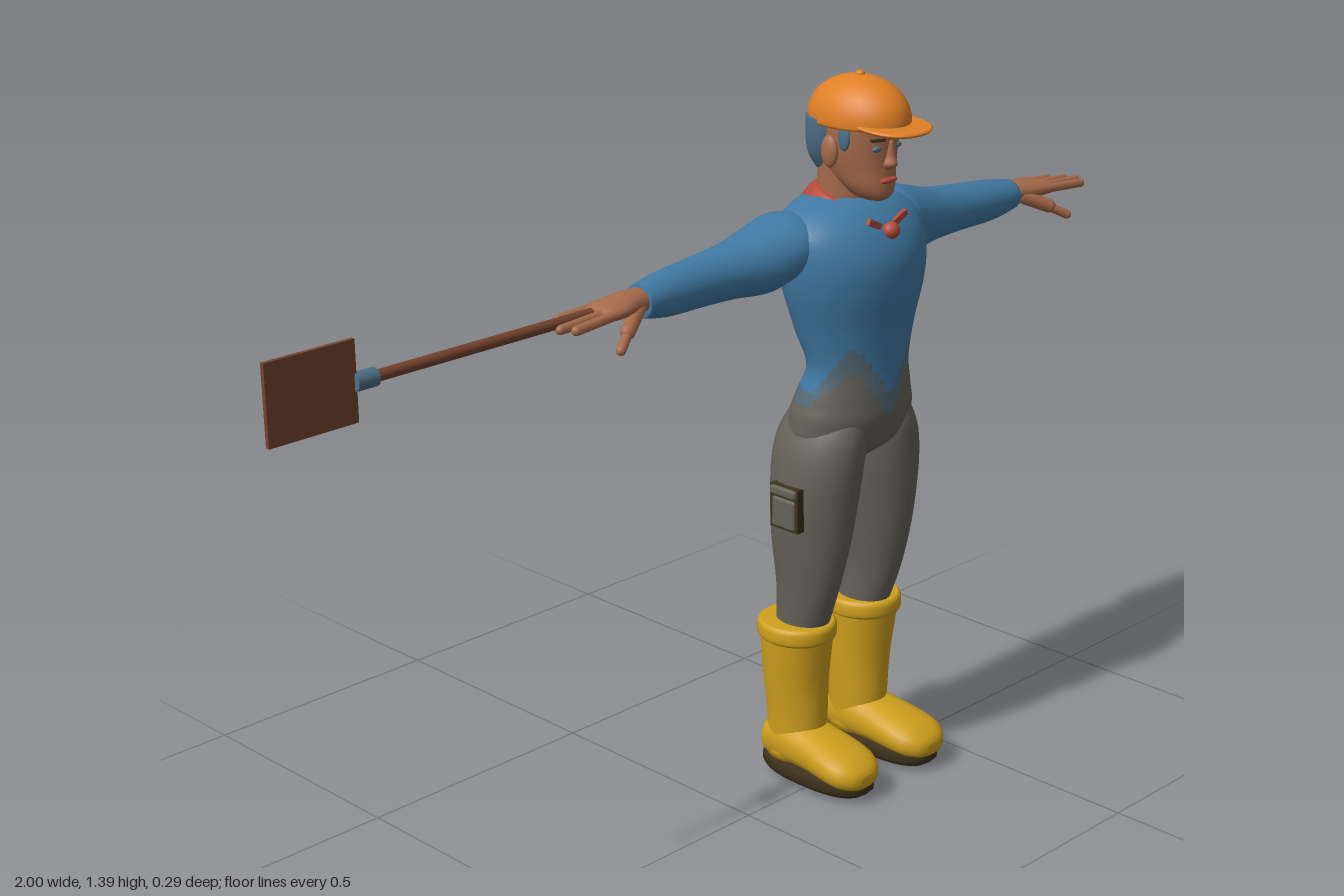
import * as THREE from 'three';
import { RoundedBoxGeometry } from 'three/addons/geometries/RoundedBoxGeometry.js';

const colours = {
  capOrange: 0xe07f26, skin: 0xa66a4b, hairSlate: 0x4d6f87, shirtBlue: 0x417aa4, fadedShirt: 0x566a76,
  trouserGrey: 0x656259, bootYellow: 0xcfa01e, soleDark: 0x3d321c, collarRed: 0xb54a38, wornBrown: 0x74432f,
};

// Smooth tube of elliptical rings [t, u, v, ru, rv]; t runs along the axis, (u, v) is the ring centre.
function loft(rings, { axis = 'y', seg = 24, steps = 4, pick = null, sq = 1 } = {}) {
  const rows = [];
  const at = i => rings[Math.max(0, Math.min(rings.length - 1, i))];
  for (let i = 0; i < rings.length - 1; i++) {
    for (let s = 0; s < steps; s++) {
      const f = s / steps;
      rows.push(at(i).map((b, k) => {
        const a = at(i - 1)[k], c = at(i + 1)[k], d = at(i + 2)[k];
        return b + 0.5 * f * (c - a + f * (2 * a - 5 * b + 4 * c - d + f * (3 * (b - c) + d - a)));
      }));
    }
  }
  rows.push(rings[rings.length - 1]);
  const pos = [], tris = [];
  const put = (t, u, v) => pos.push(...(axis === 'y' ? [u, t, v] : axis === 'x' ? [t, u, v] : [u, v, t]));
  const pow = n => Math.sign(n) * Math.abs(n) ** sq;
  for (const [t, u, v, ru, rv] of rows) {
    for (let i = 0; i < seg; i++) {
      const a = i / seg * Math.PI * 2;
      put(t, u + ru * pow(Math.cos(a)), v + rv * pow(Math.sin(a)));
    }
  }
  const n = rows.length, lo = n * seg, hi = lo + 1;
  put(rows[0][0], rows[0][1], rows[0][2]);
  put(rows[n - 1][0], rows[n - 1][1], rows[n - 1][2]);
  const flip = (axis !== 'y') !== (rows[n - 1][0] < rows[0][0]);
  const tri = (a, b, c) => tris.push(flip ? [a, c, b] : [a, b, c]);
  for (let i = 0; i < seg; i++) {
    const k = (i + 1) % seg;
    for (let j = 0; j < n - 1; j++) {
      const a = j * seg + i, b = a + seg, c = j * seg + k, d = c + seg;
      tri(a, b, c);
      tri(b, d, c);
    }
    tri(lo, i, k);
    tri(hi, (n - 1) * seg + k, (n - 1) * seg + i);
  }
  const g = new THREE.BufferGeometry();
  g.setAttribute('position', new THREE.Float32BufferAttribute(pos, 3));
  if (pick) {
    // Sort faces into one group for each colour.
    const sets = [[], [], []];
    for (const t of tris) {
      const c = [0, 1, 2].map(k => t.reduce((sum, p) => sum + pos[p * 3 + k], 0) / 3);
      sets[pick(...c)].push(...t);
    }
    let start = 0;
    sets.forEach((set, m) => { g.addGroup(start, set.length, m); start += set.length; });
    g.setIndex(sets.flat());
  } else g.setIndex(tris.flat());
  g.computeVertexNormals();
  return g;
}

// Capsule between two points.
function bone(a, b, r) {
  const p = new THREE.Vector3(...a), q = new THREE.Vector3(...b), d = q.clone().sub(p);
  const g = new THREE.CapsuleGeometry(r, d.length(), 5, 10);
  g.applyQuaternion(new THREE.Quaternion().setFromUnitVectors(new THREE.Vector3(0, 1, 0), d.normalize()));
  const m = p.add(q).multiplyScalar(0.5);
  return g.translate(m.x, m.y, m.z);
}

const ball = (x, y, z, rx, ry, rz) => new THREE.SphereGeometry(1, 18, 12).scale(rx, ry, rz).translate(x, y, z);
const box = (w, h, d, x, y, z) => new THREE.BoxGeometry(w, h, d).translate(x, y, z);

export function createModel() {
  const mat = {};
  for (const [name, color] of Object.entries(colours)) {
    mat[name] = new THREE.MeshStandardMaterial({ color });
    mat[name].name = name;
  }
  const model = new THREE.Group();
  const figure = new THREE.Group();
  figure.name = 'figure';
  figure.position.x = 0.29;
  model.add(figure);
  const add = (name, geometry, material) => {
    const mesh = new THREE.Mesh(geometry, material);
    mesh.name = name;
    figure.add(mesh);
    return mesh;
  };

  // Torso: shirt with a worn, uneven hem over the trousers
  const hem = (x, y, z) => {
    const front = Math.max(0, Math.min(1, z / 0.06));
    const h = 0.785 + front * (-0.03 + 0.1 * Math.min(1, Math.abs(x) / 0.075));
    return y < h ? 2 : y < h + 0.025 + 0.02 * front ? 1 : 0;
  };
  add('torso', loft([
    [0.665, 0, -0.025, 0.04, 0.05], [0.70, 0, -0.022, 0.125, 0.088], [0.75, 0, -0.014, 0.135, 0.097],
    [0.79, 0, -0.008, 0.125, 0.092], [0.85, 0, 0.002, 0.111, 0.081], [0.92, 0, -0.008, 0.128, 0.097],
    [1.0, 0, -0.012, 0.153, 0.112], [1.06, 0, -0.018, 0.163, 0.117], [1.11, 0, -0.026, 0.16, 0.104],
    [1.145, 0, -0.036, 0.125, 0.083], [1.165, 0, -0.04, 0.065, 0.055],
  ], { seg: 48, steps: 7, pick: hem }), [mat.shirtBlue, mat.fadedShirt, mat.trouserGrey]);

  // Neck, collar and neckerchief knot
  add('neck', loft([[1.1, 0, -0.04, 0.056, 0.06], [1.17, 0, -0.035, 0.053, 0.054], [1.24, 0, -0.03, 0.053, 0.055]]), mat.skin);
  const collar = add('collar', loft([[-0.03, 0, 0, 0.09, 0.09], [0, 0, 0, 0.077, 0.08], [0.022, 0, 0, 0.06, 0.066]]), mat.collarRed);
  collar.position.set(0, 1.148, -0.028);
  collar.rotation.x = 0.32;
  add('knot', ball(0, 1.112, 0.078, 0.018, 0.016, 0.016), mat.collarRed);
  for (const s of [-1, 1]) {
    const flap = add('collarTail', box(0.035, 0.012, 0.008, 0, 0, 0), mat.collarRed);
    flap.position.set(s * 0.035, 1.128, 0.068);
    flap.rotation.z = s * 0.45;
  }

  // Head and face
  add('head', loft([
    [1.164, 0, 0.034, 0.016, 0.024], [1.174, 0, 0.028, 0.034, 0.042], [1.195, 0, 0.015, 0.049, 0.058],
    [1.22, 0, 0, 0.058, 0.071], [1.25, 0, -0.008, 0.065, 0.08], [1.29, 0, -0.01, 0.068, 0.086],
    [1.32, 0, -0.01, 0.066, 0.085], [1.35, 0, -0.01, 0.05, 0.065],
  ]), mat.skin);
  add('nose', loft([
    [1.224, 0, 0.066, 0.008, 0.008], [1.234, 0, 0.069, 0.014, 0.018],
    [1.25, 0, 0.069, 0.009, 0.013], [1.278, 0, 0.07, 0.006, 0.008],
  ], { seg: 12 }), mat.skin);
  add('lips', ball(0, 1.204, 0.07, 0.022, 0.006, 0.007), mat.collarRed);
  add('hair', loft([
    [1.212, 0, -0.056, 0.045, 0.034], [1.24, 0, -0.055, 0.062, 0.049],
    [1.275, 0, -0.047, 0.071, 0.06], [1.31, 0, -0.042, 0.073, 0.064],
  ]), mat.hairSlate);
  for (const s of [-1, 1]) {
    add('eye', ball(s * 0.026, 1.264, 0.064, 0.012, 0.006, 0.006), mat.hairSlate);
    const brow = add('brow', box(0.028, 0.005, 0.008, 0, 0, 0), mat.soleDark);
    brow.position.set(s * 0.028, 1.281, 0.067);
    brow.rotation.y = s * 0.35;
    add('ear', ball(s * 0.069, 1.255, -0.012, 0.011, 0.03, 0.019), mat.skin);
    add('sideburn', ball(s * 0.064, 1.285, 0.018, 0.006, 0.026, 0.014), mat.hairSlate);
  }

  // Cap with brim and button
  const dome = [[1.3, 0, -0.003, 0.077, 0.105]];
  for (let i = 0; i <= 6; i++) {
    const a = i / 6 * 1.5;
    dome.push([1.31 + 0.077 * Math.sin(a), 0, -0.003, 0.078 * Math.cos(a), 0.106 * Math.cos(a)]);
  }
  add('cap', loft(dome, { seg: 32, steps: 2 }), mat.capOrange);
  const brim = add('brim', loft([[-0.004, 0, 0, 0.066, 0.068], [0, 0, 0, 0.07, 0.072], [0.004, 0, 0, 0.066, 0.068]], { sq: 0.85, seg: 32 }), mat.capOrange);
  brim.position.set(0, 1.305, 0.074);
  brim.rotation.x = 0.08;
  add('capButton', ball(0, 1.387, -0.003, 0.009, 0.007, 0.009), mat.capOrange);

  for (const s of [-1, 1]) {
    // Sleeve, hand, fingers and thumb
    add('sleeve', loft([
      [0.07, 1.095, -0.05, 0.035, 0.06], [0.14, 1.09, -0.057, 0.058, 0.076], [0.2, 1.072, -0.062, 0.063, 0.07],
      [0.27, 1.064, -0.066, 0.052, 0.055], [0.35, 1.06, -0.067, 0.046, 0.047], [0.43, 1.058, -0.063, 0.042, 0.042],
      [0.48, 1.059, -0.058, 0.035, 0.037], [0.505, 1.06, -0.056, 0.03, 0.033],
    ].map(([t, ...r]) => [s * t, ...r]), { axis: 'x' }), mat.shirtBlue);
    add('hand', loft([
      [0.49, 1.062, -0.055, 0.022, 0.027], [0.52, 1.064, -0.054, 0.022, 0.03], [0.56, 1.064, -0.051, 0.019, 0.038],
      [0.595, 1.062, -0.05, 0.015, 0.04], [0.612, 1.061, -0.05, 0.008, 0.034],
    ].map(([t, ...r]) => [s * t, ...r]), { axis: 'x', seg: 20 }), mat.skin);
    [0.665, 0.69, 0.7, 0.685].forEach((tip, i) => {
      const z = -0.05 + (i - 1.5) * 0.02;
      add('finger', bone([s * 0.585, 1.063, z], [s * tip, 1.057, z + (i - 1.5) * 0.003], 0.009), mat.skin);
    });
    add('thumbBase', bone([s * 0.525, 1.055, -0.035], [s * 0.575, 1.032, -0.008], 0.014), mat.skin);
    add('thumb', bone([s * 0.57, 1.033, -0.01], [s * 0.61, 1.011, 0.012], 0.009), mat.skin);

    // Trouser leg
    add('trouserLeg', loft([
      [0.3, s * 0.086, -0.058, 0.045, 0.052], [0.4, s * 0.09, -0.038, 0.048, 0.068], [0.5, s * 0.088, -0.032, 0.063, 0.085],
      [0.6, s * 0.084, -0.027, 0.076, 0.092], [0.67, s * 0.078, -0.024, 0.076, 0.096],
      [0.72, s * 0.07, -0.02, 0.068, 0.093], [0.765, s * 0.06, -0.015, 0.05, 0.08],
    ]), mat.trouserGrey);

    // Cargo pocket with dark seam and flap
    add('pocketSeam', box(0.018, 0.086, 0.07, s * 0.16, 0.589, -0.026), mat.soleDark);
    add('pocket', new RoundedBoxGeometry(0.025, 0.06, 0.058, 2, 0.006).translate(s * 0.161, 0.579, -0.026), mat.trouserGrey);
    add('pocketFlap', new RoundedBoxGeometry(0.03, 0.018, 0.064, 2, 0.005).translate(s * 0.161, 0.622, -0.026), mat.trouserGrey);

    // Boot
    add('bootShaft', loft([
      [0.04, s * 0.09, -0.066, 0.052, 0.06], [0.12, s * 0.088, -0.063, 0.054, 0.063], [0.2, s * 0.09, -0.065, 0.061, 0.066],
      [0.26, s * 0.092, -0.063, 0.066, 0.07], [0.31, s * 0.093, -0.061, 0.07, 0.074],
    ]), mat.bootYellow);
    add('bootCuff', loft([
      [0.298, s * 0.094, -0.06, 0.068, 0.073], [0.305, s * 0.094, -0.06, 0.074, 0.079],
      [0.326, s * 0.094, -0.06, 0.074, 0.079], [0.334, s * 0.094, -0.06, 0.068, 0.073],
    ]), mat.bootYellow);
    add('bootFoot', loft([
      [-0.131, s * 0.09, 0.06, 0.02, 0.022], [-0.115, s * 0.09, 0.07, 0.044, 0.042], [-0.06, s * 0.09, 0.076, 0.055, 0.05],
      [0, s * 0.092, 0.072, 0.057, 0.043], [0.06, s * 0.095, 0.065, 0.063, 0.037], [0.1, s * 0.097, 0.058, 0.058, 0.031],
      [0.124, s * 0.097, 0.052, 0.038, 0.021], [0.132, s * 0.097, 0.05, 0.016, 0.01],
    ], { axis: 'z', sq: 0.85 }), mat.bootYellow);
    add('sole', loft([
      [0.012, s * 0.094, -0.002, 0.054, 0.12], [0.022, s * 0.094, -0.001, 0.06, 0.13], [0.042, s * 0.094, -0.001, 0.06, 0.13],
    ], { sq: 0.8, steps: 2 }), mat.soleDark);
    add('tread', loft([
      [0, s * 0.094, -0.02, 0.034, 0.085], [0.014, s * 0.094, -0.004, 0.052, 0.116],
    ], { sq: 0.8, steps: 1 }), mat.wornBrown);
  }

  // Shovel held in the right hand
  const rod = (r, x0, x1) => new THREE.CylinderGeometry(r, r, x1 - x0, 14).rotateZ(Math.PI / 2).translate((x0 + x1) / 2, 1.065, -0.05);
  add('shovelShaft', rod(0.01, -1.1, -0.62), mat.wornBrown);
  add('shovelSocket', rod(0.016, -1.122, -1.08), mat.hairSlate);
  add('shovelBlade', box(0.172, 0.138, 0.008, -1.204, 1.068, -0.05), mat.wornBrown);
  return model;
}
